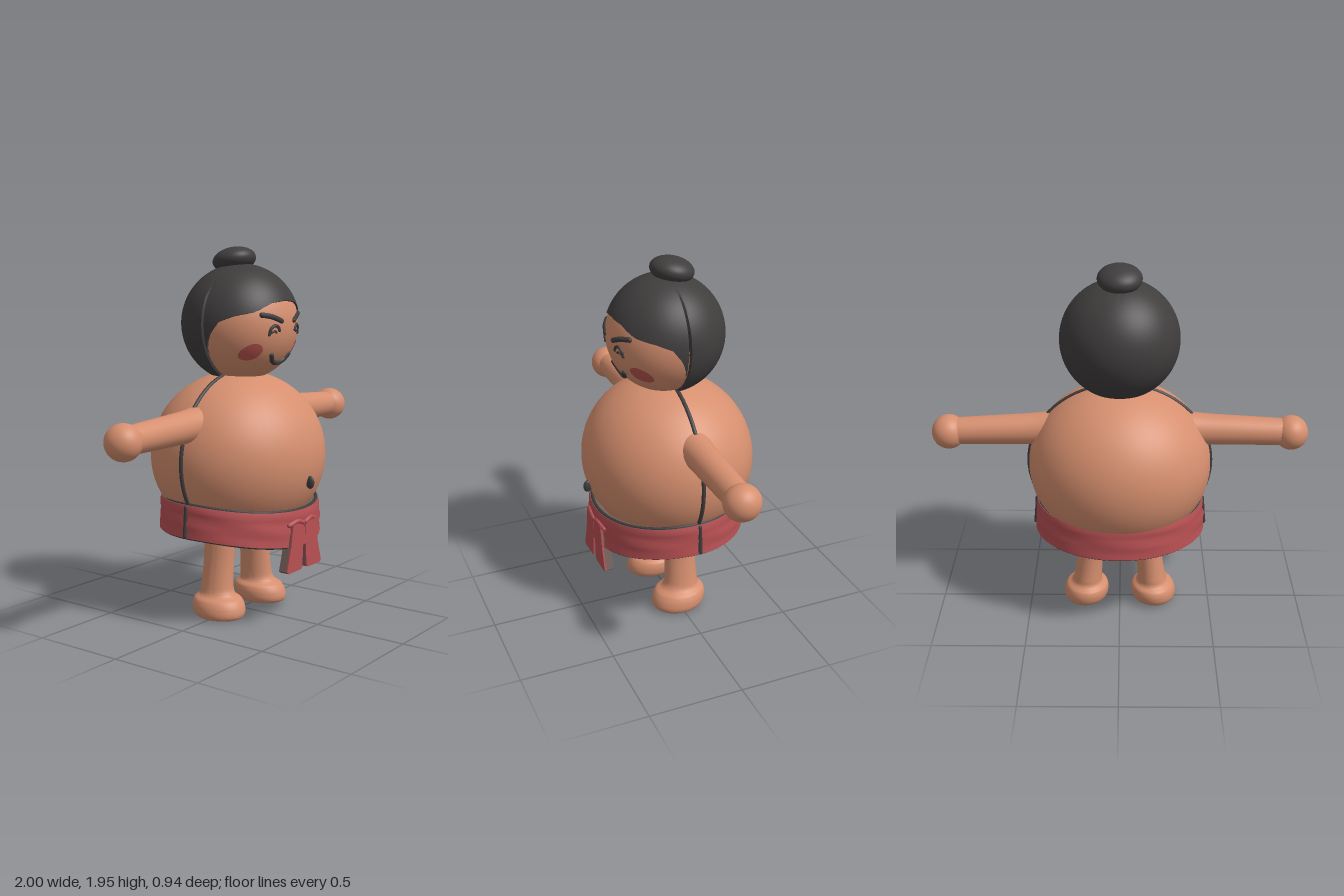
import * as THREE from 'three';
import { toCreasedNormals } from 'three/addons/utils/BufferGeometryUtils.js';

const V2 = (a) => a.map((p) => new THREE.Vector2(p[0], p[1]));
const V3 = (a) => a.map((p) => new THREE.Vector3(...p));
const HEAD_Y = 1.55, HEAD_R = 0.3;

// Move every vertex of a geometry by a rule
function bend(geo, rule) {
  const p = geo.attributes.position, uv = geo.attributes.uv, v = new THREE.Vector3();
  for (let i = 0; i < p.count; i++) {
    v.fromBufferAttribute(p, i);
    rule(v, uv.getX(i), uv.getY(i));
    p.setXYZ(i, v.x, v.y, v.z);
  }
  geo.computeVertexNormals();
  return geo;
}

// Piecewise linear lookup
function lookup(table, x) {
  for (let i = 1; i < table.length; i++) {
    const [x0, y0] = table[i - 1], [x1, y1] = table[i];
    if (x <= x1) return y0 + (y1 - y0) * (x - x0) / (x1 - x0);
  }
  return table[table.length - 1][1];
}

export function createModel() {
  const model = new THREE.Group();
  const mat = (name, color, side = THREE.FrontSide) => {
    const m = new THREE.MeshStandardMaterial({ color, side });
    m.name = name;
    return m;
  };
  const skin = mat('skin', 0xd68f6f);
  const charcoal = mat('charcoal', 0x403d3d, THREE.DoubleSide);
  const red = mat('red cloth', 0xb85053);
  const taupe = mat('cloth lining', 0x73605c);
  const blush = mat('blush', 0xb8544e, THREE.DoubleSide);

  const add = (name, geo, material, pos = [0, 0, 0]) => {
    const m = new THREE.Mesh(geo, material);
    m.name = name;
    m.position.set(...pos);
    model.add(m);
    return m;
  };
  const ball = (name, r, material, pos) => {
    const m = add(name, new THREE.SphereGeometry(1, 48, 32), material, pos);
    m.scale.set(...r);
    return m;
  };
  // Tube along points, with round ends
  const stroke = (name, pts, r, material, closed = false) => {
    const curve = new THREE.CatmullRomCurve3(V3(pts), closed);
    add(name, new THREE.TubeGeometry(curve, closed ? 96 : 24, r, 8, closed), material);
    if (!closed) for (const p of [pts[0], pts[pts.length - 1]]) {
      add(name + 'End', new THREE.SphereGeometry(r, 10, 8), material, p);
    }
  };
  const headZ = (x, y, r = HEAD_R) => Math.sqrt(Math.max(0, r * r - x * x - (y - HEAD_Y) ** 2));
  const faceStroke = (name, pts, r) =>
    stroke(name, pts.map(([x, y]) => [x, y, headZ(x, y) + 0.004]), r, charcoal);

  // Body and head
  ball('body', [0.487, 0.447, 0.457], skin, [0, 0.855, -0.012]);
  ball('head', [HEAD_R, HEAD_R, HEAD_R], skin, [0, HEAD_Y, 0.005]);

  // Hair cap: a sphere whose lower limit follows the hairline (degrees from the front, height)
  const hairline = [[0, 1.675], [20, 1.665], [40, 1.62], [60, 1.6], [75, 1.57], [85, 1.5],
    [90, 1.43], [93, 1.26], [180, 1.26]];
  const rows = 32;
  const hair = bend(new THREE.SphereGeometry(1, 120, rows, 0, Math.PI * 2, 0, 3.1), (v, u, vv) => {
    const phi = u * Math.PI * 2, t = 1 - vv;
    const dx = -Math.cos(phi), dz = Math.sin(phi);
    const deg = Math.abs(Math.atan2(dx, dz)) * 180 / Math.PI;
    const limit = Math.acos((lookup(hairline, deg) - HEAD_Y) / 0.312);
    const theta = limit * Math.min(1, t * rows / (rows - 1));
    const r = t > 0.999 ? 0.285 : 0.312;
    v.set(dx * Math.sin(theta), Math.cos(theta), dz * Math.sin(theta)).multiplyScalar(r);
  });
  add('hair', toCreasedNormals(hair, 0.8), charcoal, [0, HEAD_Y, 0]);
  ball('hairBun', [0.115, 0.066, 0.115], charcoal, [0, 1.88, -0.04]).rotation.x = -0.2;

  // Face
  for (const s of [1, -1]) {
    faceStroke('eyebrow', [[s * 0.16, 1.604], [s * 0.11, 1.594], [s * 0.055, 1.572]], 0.014);
    faceStroke('eye', [[s * 0.125, 1.505], [s * 0.118, 1.535], [s * 0.095, 1.55],
      [s * 0.075, 1.54], [s * 0.068, 1.525]], 0.009);
    faceStroke('eyeLash', [[s * 0.112, 1.515], [s * 0.095, 1.522], [s * 0.085, 1.515]], 0.006);
    const cx = s * 0.182, cy = 1.417;
    const cheek = bend(new THREE.RingGeometry(0.0005, 0.043, 28, 4), (v) => {
      v.x += cx;
      v.y += cy;
      v.z = headZ(v.x, v.y, 0.303) + 0.005;
    });
    add('cheek', cheek, blush);
  }
  faceStroke('mouth', [[-0.075, 1.398], [-0.045, 1.365], [0, 1.354], [0.045, 1.365], [0.075, 1.398]], 0.014);
  ball('navel', [0.014, 0.034, 0.025], charcoal, [0.004, 0.747, 0.442]);

  // Arms, hands, legs and side seams
  const armProfile = new THREE.SplineCurve(V2([[0.1, 0], [0.088, 0.1], [0.083, 0.17], [0.079, 0.3],
    [0.073, 0.52], [0.07, 0.6]])).getPoints(24);
  const legProfile = new THREE.SplineCurve(V2([[0.001, 0], [0.09, 0.002], [0.118, 0.02], [0.124, 0.06],
    [0.113, 0.098], [0.086, 0.122], [0.077, 0.16], [0.072, 0.28], [0.075, 0.4], [0.08, 0.52]])).getPoints(48);
  for (const s of [1, -1]) {
    const side = s > 0 ? 'left' : 'right';
    const arm = add(side + 'Arm', new THREE.LatheGeometry(armProfile, 32), skin, [s * 0.3, 1.054, -0.01]);
    arm.rotation.z = -s * (Math.PI / 2 + 0.035);
    ball(side + 'Hand', [0.09, 0.092, 0.095], skin, [s * 0.91, 1.03, -0.01]);

    const leg = bend(new THREE.LatheGeometry(legProfile, 40), (v) => {
      v.x += s * (0.195 - 0.11 * v.y);
      v.z = v.z * 1.2 + 0.008 - 0.03 * Math.min(1, v.y / 0.15);
    });
    add(side + 'Leg', toCreasedNormals(leg, 1), skin);

    const seam = [];
    for (let i = 0; i <= 16; i++) {
      const a = -0.55 + i * 0.122;
      seam.push([s * 0.487 * Math.cos(a), 0.855 + 0.447 * Math.sin(a), -0.01]);
    }
    stroke(side + 'Seam', seam, 0.011, charcoal);
    stroke(side + 'BeltSeam', [[s * 0.462, 0.49, -0.01], [s * 0.455, 0.56, -0.01], [s * 0.45, 0.635, -0.01]],
      0.011, charcoal);
  }

  // Belt: an oval band, dipping towards the front
  const RX = 0.455, RZ = 0.41;
  const beltPoint = (v) => {
    const r = Math.hypot(v.x, v.z), f = Math.max(0, v.z / r);
    const low = 0.478 - 0.06 * f * f, high = 0.648 - 0.045 * f ** 1.5;
    v.set(v.x * RX, low + (high - low) * v.y, v.z * RZ);
    return v;
  };
  const band = (name, profile, material, fold) => {
    const geo = bend(new THREE.LatheGeometry(V2(profile), 80), (v) => {
      const a = Math.atan2(v.x, v.z);
      const k = 1 + fold * Math.sin(a * 5 + v.y * 9) * Math.sin(Math.PI * v.y);
      v.x *= k;
      v.z *= k;
      beltPoint(v);
    });
    add(name, toCreasedNormals(geo, 0.7), material);
  };
  band('belt', [[1.015, 0], [1.01, 0.15], [1.005, 0.3], [1.012, 0.45], [0.995, 0.6], [1, 0.75],
    [1, 0.88], [0.985, 1]], red, 0.006);
  band('beltLining', [[0.985, 1], [0.9, 1], [0.94, 0.5], [0.95, 0], [1.015, 0]], taupe, 0);
  for (const [name, r, y] of [['beltTopEdge', 0.955, 1], ['beltBottomEdge', 0.985, 0]]) {
    const pts = [];
    for (let i = 0; i < 40; i++) {
      const a = i / 40 * Math.PI * 2;
      pts.push(beltPoint(new THREE.Vector3(Math.sin(a) * r, y, Math.cos(a) * r)).toArray());
    }
    stroke(name, pts, 0.009, charcoal, true);
  }

  // Hanging belt ends: lined plates with a red front
  for (const s of [1, -1]) {
    const outline = V2([[0.004, 0.535], [0.02, 0.3], [0.032, 0.29], [0.145, 0.288], [0.16, 0.3],
      [0.125, 0.42], [0.105, 0.54]].map(([x, y]) => [s * x, y]));
    const shape = new THREE.Shape(outline);
    const plate = (depth) => new THREE.ExtrudeGeometry(shape, { depth, bevelEnabled: false });
    add('beltEndLining', plate(0.042), taupe, [0, 0, 0.364]);
    add('beltEnd', plate(0.009), red, [0, 0, 0.406]);
    stroke('beltFold', [[s * 0.012, 0.535, 0.41], [s * 0.06, 0.55, 0.41], [s * 0.12, 0.535, 0.398]], 0.012, red);
  }
  return model;
}
